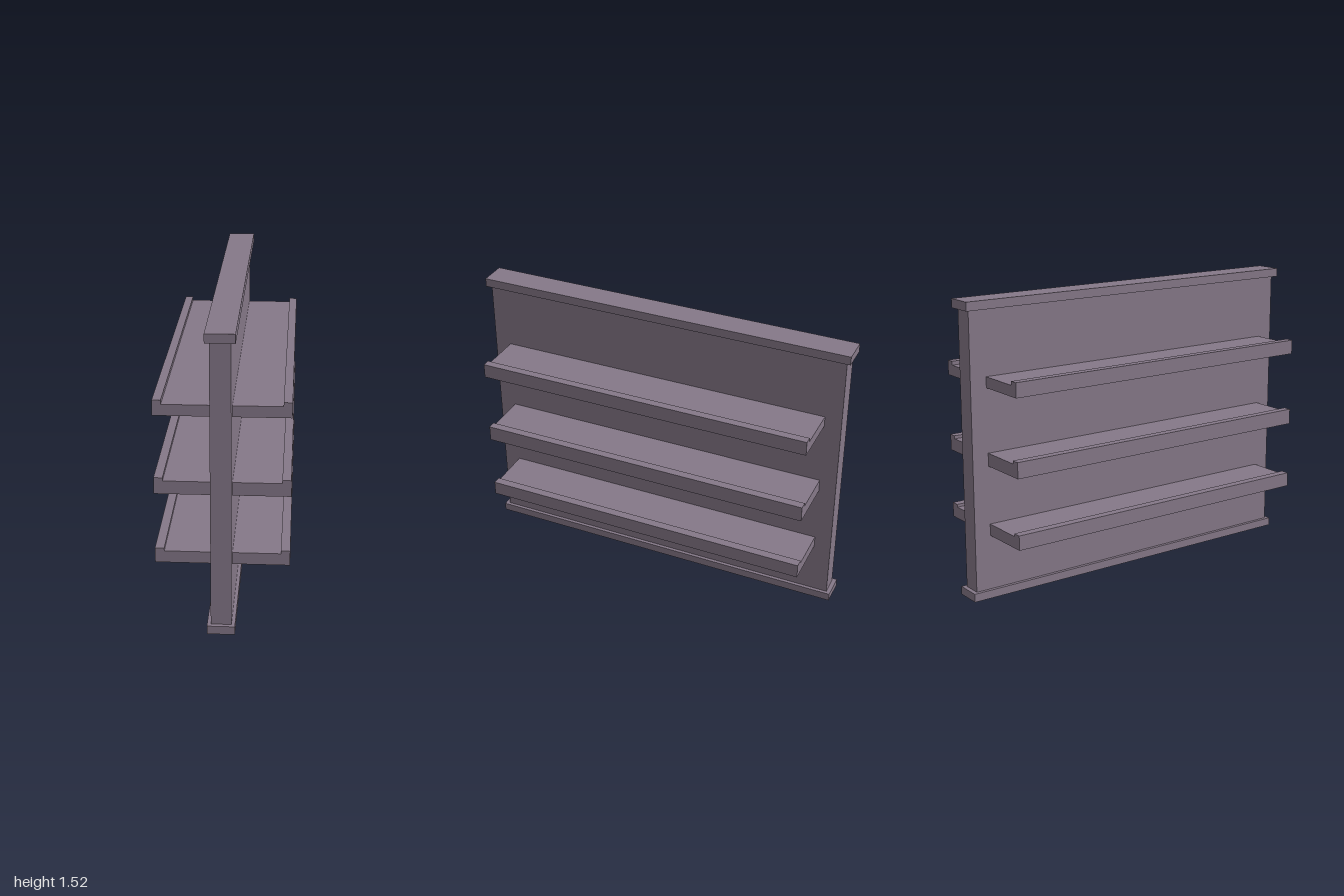
import * as THREE from 'three';

const material = new THREE.MeshStandardMaterial({ color: 0x857888, flatShading: true });

export function createModel() {
  const group = new THREE.Group();
  group.name = 'doubleSidedShelf';

  const add = (name, geometry) => {
    const mesh = new THREE.Mesh(geometry, material);
    mesh.name = name;
    group.add(mesh);
    return mesh;
  };
  const slab = (name, x0, x1, y0, y1, depth) => {
    const mesh = add(name, new THREE.BoxGeometry(x1 - x0, y1 - y0, depth));
    mesh.position.set((x0 + x1) / 2, (y0 + y1) / 2, 0);
  };

  // Upright panel between a base rail and a top rail
  slab('baseRail', -0.07, 0.066, 0, 0.043, 2);
  slab('centrePanel', -0.052, 0.048, 0.043, 1.478, 1.956);
  slab('topRail', -0.073, 0.069, 1.478, 1.523, 2);

  // Shelves with a raised outer lip: bottom, surface, lip top, lip inner edge
  const depth = 1.78;
  const shelves = [
    ['lowerShelf', 0.327, 0.388, 0.403, 0.282],
    ['middleShelf', 0.69, 0.757, 0.773, 0.284],
    ['upperShelf', 1.088, 1.144, 1.164, 0.285],
  ];
  for (const [name, bottom, surface, lip, lipX] of shelves) {
    for (const side of [1, -1]) {
      const profile = [
        [0.046, bottom], [0.327, bottom], [0.327, lip],
        [lipX, lip], [lipX, surface], [0.046, surface],
      ].map(([x, y]) => new THREE.Vector2(side * x, y));
      const geometry = new THREE.ExtrudeGeometry(new THREE.Shape(profile), { depth, bevelEnabled: false });
      geometry.translate(0, 0, -depth / 2);
      add(name + (side > 0 ? 'Left' : 'Right'), geometry);
    }
  }
  return group;
}
